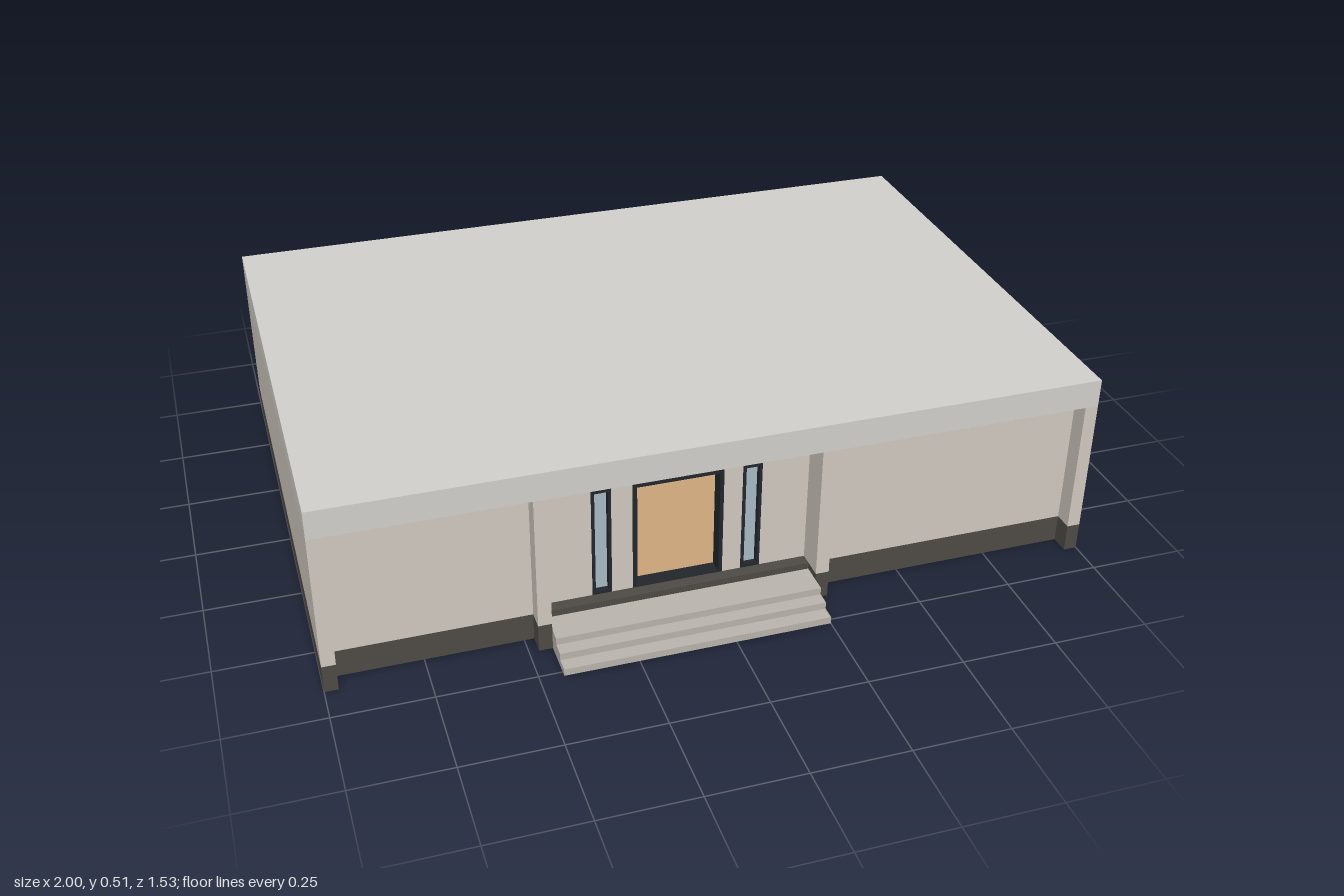
import * as THREE from 'three';

const mat = (color) => new THREE.MeshStandardMaterial({ color });
const roofMat = mat(0xd0cfcb), wallMat = mat(0xcfc8be), baseMat = mat(0x4e4b45);
const stepMat = mat(0xb9b3ac), deckMat = mat(0x704f3b), floorMat = mat(0xc9a277);
const frameMat = mat(0x22262b), glassMat = mat(0xa6bac3), slatMat = mat(0x4a362b), woodMat = mat(0x8a6440);

const FLOOR = 0.075, EAVE = 0.44, TOP = 0.515, HEAD = 0.385;
const FRONT = 0.655, BACK = -0.705, T = 0.035;

// Box given by its limits along each axis
function box(parent, name, material, [x0, x1], [y0, y1], [z0, z1]) {
  const m = new THREE.Mesh(new THREE.BoxGeometry(x1 - x0, y1 - y0, z1 - z0), material);
  m.position.set((x0 + x1) / 2, (y0 + y1) / 2, (z0 + z1) / 2);
  m.name = name;
  parent.add(m);
  return m;
}

function rectPath(Type, x0, x1, y0, y1) {
  const p = new Type();
  p.moveTo(x0, y0);
  p.lineTo(x1, y0);
  p.lineTo(x1, y1);
  p.lineTo(x0, y1);
  p.closePath();
  return p;
}

// Upright slab with rectangular openings, each [x0, x1, y0, y1]
function slab(parent, name, material, [x0, x1, y0, y1], holes, z, depth) {
  const s = rectPath(THREE.Shape, x0, x1, y0, y1);
  for (const h of holes) s.holes.push(rectPath(THREE.Path, ...h));
  const m = new THREE.Mesh(new THREE.ExtrudeGeometry(s, { depth, bevelEnabled: false }), material);
  m.position.z = z;
  m.name = name;
  parent.add(m);
  return m;
}

// Framed glazing with equal panes
function glazing(parent, name, [x0, x1, y0, y1], z, panes = 1, depth = 0.04, f = 0.01) {
  const g = new THREE.Group();
  g.name = name;
  const holes = [], w = (x1 - x0 - f) / panes;
  for (let i = 0; i < panes; i++) holes.push([x0 + i * w + f, x0 + (i + 1) * w, y0 + f, y1 - f]);
  slab(g, 'windowFrame', frameMat, [x0, x1, y0, y1], holes, z - depth / 2, depth);
  box(g, 'glassPane', glassMat, [x0 + f / 2, x1 - f / 2], [y0 + f / 2, y1 - f / 2], [z - 0.004, z + 0.004]);
  parent.add(g);
  return g;
}

// Glazed leaf standing between two plan points
function leaf(parent, a, b) {
  const [ax, az] = a, [bx, bz] = b;
  const g = glazing(parent, 'foldingDoorLeaf', [0, Math.hypot(bx - ax, bz - az), FLOOR + 0.004, HEAD], 0, 1, 0.014);
  g.position.set(ax, 0, az);
  g.rotation.y = -Math.atan2(bz - az, bx - ax);
}

export function createModel() {
  const house = new THREE.Group();
  house.name = 'house';

  // Roof and plinth
  box(house, 'roof', roofMat, [-1, 1], [EAVE, TOP], [BACK, FRONT]);
  box(house, 'plinth', baseMat, [-0.965, 0.965], [0, FLOOR - 0.004], [-0.655, 0.605]);
  for (const s of [-1, 1]) {
    const xs = s > 0 ? [0.965, 1] : [-1, -0.965];
    box(house, 'sidePlinth', baseMat, xs, [0, FLOOR], [BACK, FRONT]);
  }

  // Floors
  box(house, 'verandaDeck', deckMat, [-0.965, 0.965], [FLOOR - 0.004, FLOOR], [-0.655, -0.31]);
  box(house, 'interiorFloor', floorMat, [-0.965, 0.965], [FLOOR - 0.004, FLOOR], [-0.31, 0.54]);
  box(house, 'porchFloor', baseMat, [-0.965, 0.965], [FLOOR - 0.004, FLOOR], [0.54, 0.605]);

  // Side walls; the right one has a window
  const win = [-0.535, -0.29, 0.15, HEAD];
  box(house, 'leftSideWall', wallMat, [-1, -0.965], [FLOOR, EAVE], [BACK, FRONT]);
  const side = new THREE.Group();
  side.name = 'windowedSideWall';
  slab(side, 'sideWall', wallMat, [-FRONT, -BACK, FLOOR, EAVE], [win], 0, T);
  glazing(side, 'sideWindow', win, 0.019, 2);
  side.rotation.y = Math.PI / 2;
  side.position.x = 0.965;
  house.add(side);

  // Front pillars beside the porch, with dark feet
  for (const x of [-0.475, 0.25]) {
    box(house, 'frontPillar', wallMat, [x, x + T], [FLOOR, EAVE], [0.54, FRONT]);
    box(house, 'pillarFoot', baseMat, [x, x + T], [0, FLOOR], [0.54, FRONT]);
  }

  // Front walls
  box(house, 'frontWingWall', wallMat, [-0.965, -0.475], [FLOOR, EAVE], [0.54, 0.605]);
  box(house, 'frontWingWall', wallMat, [0.285, 0.965], [FLOOR, EAVE], [0.54, 0.605]);
  const door = [-0.21, 0.025, FLOOR + 0.002, HEAD];
  const lights = [[-0.315, -0.265, FLOOR + 0.002, HEAD], [0.075, 0.125, FLOOR + 0.002, HEAD]];
  slab(house, 'entranceWall', wallMat, [-0.44, 0.25, FLOOR, EAVE], [door, ...lights], 0.538, T);
  for (const l of lights) glazing(house, 'sidelight', l, 0.556, 1, 0.04, 0.008);

  // Entrance door frame and opened door
  slab(house, 'doorFrame', frameMat, door, [[-0.2, 0.015, FLOOR + 0.004, HEAD - 0.01]], 0.536, 0.04);
  box(house, 'openDoor', frameMat, [-0.2, -0.188], [FLOOR + 0.004, HEAD - 0.01], [0.4, 0.54]);

  // Veranda wall with windows and a wide doorway
  const backWins = [[0.56, 0.87, 0.09, HEAD], [-0.88, -0.57, 0.09, HEAD]];
  const doorway = [-0.25, 0.227, FLOOR + 0.002, HEAD];
  slab(house, 'verandaWall', wallMat, [-0.965, 0.965, FLOOR, EAVE], [...backWins, doorway], -0.31, T);
  for (const w of backWins) glazing(house, 'verandaWindow', w, -0.294, 2);

  // Slatted cladding around the doorway
  for (let x = -0.47; x < 0.48; x += 0.02) {
    const overDoor = x > -0.26 && x < 0.225;
    box(house, 'claddingSlat', slatMat, [x, x + 0.011], [overDoor ? HEAD + 0.01 : FLOOR, EAVE], [-0.325, -0.31]);
  }
  slab(house, 'verandaDoorFrame', frameMat, doorway, [[-0.24, 0.217, FLOOR + 0.004, HEAD - 0.01]], -0.313, 0.04);

  // Folding glass doors, partly opened onto the veranda
  for (const xs of [[0.22, 0.13, 0.03], [-0.04, -0.14, -0.245]]) {
    leaf(house, [xs[0], -0.31], [xs[1], -0.36]);
    leaf(house, [xs[1], -0.36], [xs[2], -0.31]);
  }

  // Interior slatted screen with shelves
  for (let x = -0.2; x < -0.06; x += 0.024) {
    box(house, 'screenSlat', slatMat, [x, x + 0.012], [FLOOR, EAVE], [0.08, 0.1]);
  }
  for (const y of [0.12, 0.17]) box(house, 'screenShelf', woodMat, [-0.2, -0.06], [y, y + 0.01], [0.06, 0.14]);
  box(house, 'screenRail', roofMat, [-0.18, -0.06], [0.285, 0.295], [0.1, 0.12]);

  // Front steps
  [0.765, 0.728, 0.692].forEach((z, i) => {
    box(house, 'frontStep', stepMat, [-0.44, 0.25], [i * 0.019, (i + 1) * 0.019], [0.6, z]);
  });

  // Back steps
  [[0.362, -0.77], [0.325, -0.73]].forEach(([w, z], i) => {
    box(house, 'backStep', stepMat, [-w, w], [i * 0.019, (i + 1) * 0.019], [z, -0.65]);
  });

  return house;
}
